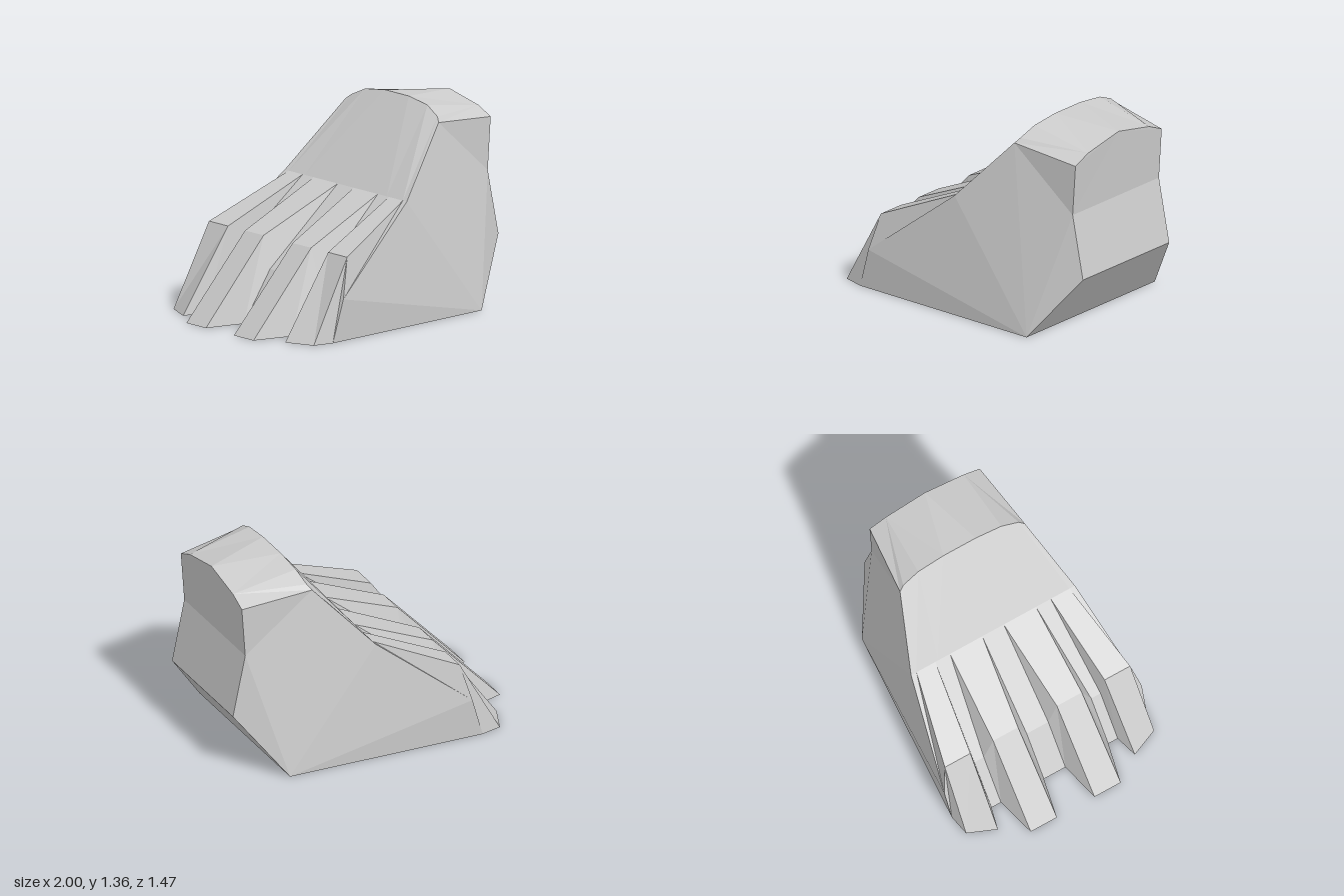
import * as THREE from 'three';

const material = new THREE.MeshStandardMaterial({ color: 0xcccccc, flatShading: true });

// Builds a mesh from convex faces on the +z half, mirrored to -z
function mirroredMesh(name, faces) {
  const pos = [];
  for (const f of faces) {
    for (let i = 1; i < f.length - 1; i++) {
      const [a, b, c] = [f[0], f[i], f[i + 1]];
      pos.push(...a, ...b, ...c);
      for (const [x, y, z] of [a, c, b]) pos.push(x, y, -z);
    }
  }
  const geo = new THREE.BufferGeometry();
  geo.setAttribute('position', new THREE.Float32BufferAttribute(pos, 3));
  geo.computeVertexNormals();
  const mesh = new THREE.Mesh(geo, material);
  mesh.name = name;
  return mesh;
}

const ridge = z => [0.06, 0.81, z];
const knuckle = z => [-0.51, 0.54, z];
const root = z => [-0.51, 0.33, z];
const floor = z => [-0.73, 0, z];

// Toe: every entry is a pair [inner point, outer point]
function toeFaces(r, k, tip, base, fl) {
  return [
    [r[0], k[0], k[1], r[1]],
    [k[0], tip[0], tip[1], k[1]],
    [r[0], base[0], k[0]],
    [k[0], base[0], fl[0], tip[0]],
    [r[1], k[1], base[1]],
    [k[1], tip[1], fl[1], base[1]],
    [fl[0], fl[1], tip[1], tip[0]],
  ];
}

// Sunken web between two toes
function webFaces(r0, r1, z0, z1) {
  return [
    [ridge(r0), root(z0), root(z1), ridge(r1)],
    [root(z0), floor(z0), floor(z1), root(z1)],
  ];
}

export function createModel() {
  const group = new THREE.Group();
  group.name = 'paw';

  // Shared corner points
  const heel = [0.69, 0, 0.61], low = [1, 0.43, 0.41], mid = [0.91, 0.86, 0.41];
  const outerRoot = [-0.58, 0.28, 0.735], outerFloor = [-0.66, 0, 0.725];
  const centre = p => [p[0], p[1], 0];
  const rim = [[0.935, 1.325, 0], [0.935, 1.265, 0.29], [0.935, 1.21, 0.41]];
  const arch = [
    [0.49, 1.36, 0], [0.49, 1.36, 0.12], [0.485, 1.335, 0.31],
    [0.47, 1.28, 0.43], [0.45, 1.25, 0.465],
  ];
  const foot = [0, 0.16, 0.41, 0.57, 0.61].map(ridge);

  // Toes
  group.add(mirroredMesh('innerToes', toeFaces(
    [ridge(0.08), ridge(0.32)], [knuckle(0.145), knuckle(0.33)],
    [[-1, 0, 0.14], [-1, 0, 0.335]],
    [root(0.08), root(0.4)], [floor(0.08), floor(0.4)])));
  group.add(mirroredMesh('outerToes', toeFaces(
    [ridge(0.43), ridge(0.57)], [knuckle(0.5), knuckle(0.69)],
    [[-0.88, 0, 0.51], [-0.8, 0, 0.7]],
    [root(0.47), outerRoot], [floor(0.47), outerFloor])));

  // Webs between the toes
  group.add(mirroredMesh('toeWebs', [
    ...webFaces(0, 0.08, 0, 0.08),
    ...webFaces(0.32, 0.43, 0.4, 0.47),
  ]));

  // Sloping instep
  group.add(mirroredMesh('instep', arch.slice(1).map((p, i) =>
    [arch[i], foot[i], foot[i + 1], p])));

  // Rounded top of the ankle
  group.add(mirroredMesh('ankleTop', [
    [rim[0], arch[0], arch[1]],
    [rim[0], arch[1], rim[1]],
    [rim[1], arch[1], arch[2]],
    [rim[1], arch[2], arch[3]],
    [rim[1], arch[3], arch[4], rim[2]],
  ]));

  // Flanks fanning out from the heel corner
  group.add(mirroredMesh('flanks', [
    [heel, low, mid, arch[4], foot[4], outerRoot, outerFloor],
    [mid, rim[2], arch[4]],
    [foot[3], outerRoot, foot[4]],
  ]));

  // Back of the ankle and heel
  group.add(mirroredMesh('heelBack', [
    [...rim, mid, centre(mid)],
    [centre(mid), mid, low, centre(low)],
    [centre(low), low, heel, centre(heel)],
  ]));

  // Flat sole
  group.add(mirroredMesh('sole', [
    [centre(heel), heel, outerFloor, floor(0.47), floor(0.4), floor(0.08), floor(0)],
  ]));

  return group;
}
